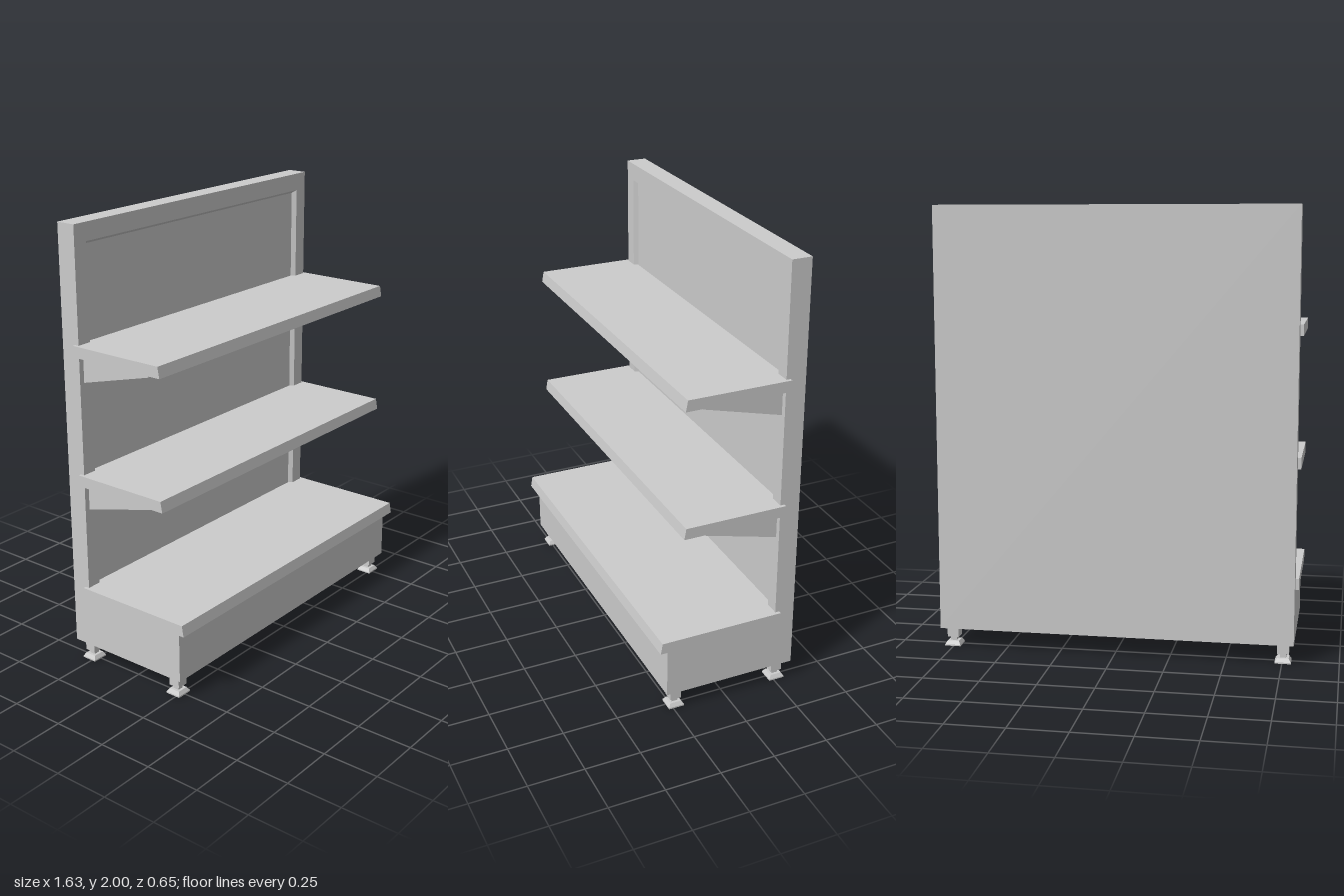
import * as THREE from 'three';

const grey = new THREE.MeshStandardMaterial({ color: 0xcccccc });
grey.name = 'light grey metal';

function add(parent, name, geometry, x = 0, y = 0, z = 0) {
  const mesh = new THREE.Mesh(geometry, grey);
  mesh.name = name;
  mesh.position.set(x, y, z);
  parent.add(mesh);
  return mesh;
}

// Extrudes a side profile of [z, y] points along x, centred on x = 0
function sideProfile(points, width) {
  const shape = new THREE.Shape(points.map(([z, y]) => new THREE.Vector2(z, y)));
  const geometry = new THREE.ExtrudeGeometry(shape, { depth: width, bevelEnabled: false });
  return geometry.translate(0, 0, -width / 2).rotateY(-Math.PI / 2);
}

// Joins rectangular loops [halfWidth, bottom, top, z] from back to front and caps both ends
function rectangleLoft(loops) {
  const rings = loops.map(([w, b, t, z]) => [[-w, b, z], [w, b, z], [w, t, z], [-w, t, z]]);
  const positions = [];
  const quad = (a, b, c, d) => positions.push(...a, ...b, ...c, ...a, ...c, ...d);
  for (let i = 0; i < rings.length - 1; i++) {
    for (let j = 0; j < 4; j++) {
      const k = (j + 1) % 4;
      quad(rings[i][j], rings[i][k], rings[i + 1][k], rings[i + 1][j]);
    }
  }
  const first = rings[0], last = rings[rings.length - 1];
  quad(first[3], first[2], first[1], first[0]);
  quad(last[0], last[1], last[2], last[3]);
  const geometry = new THREE.BufferGeometry();
  geometry.setAttribute('position', new THREE.Float32BufferAttribute(positions, 3));
  geometry.computeVertexNormals();
  return geometry;
}

// Shelf board with a front edge that leans outward at the bottom
function shelfBoard(front) {
  return sideProfile([[-0.254, 0], [front, 0], [front - 0.009, 0.05], [-0.254, 0.05]], 1.634);
}

// Levelling foot: square post, thin neck and flared pad
function makeFoot() {
  const foot = new THREE.Group();
  foot.name = 'foot';
  add(foot, 'footPost', new THREE.BoxGeometry(0.052, 0.052, 0.052), 0, 0.066, 0);
  add(foot, 'footNeck', new THREE.BoxGeometry(0.028, 0.022, 0.028), 0, 0.031, 0);
  const pad = rectangleLoft([[0.036, -0.036, 0.036, 0], [0.036, -0.036, 0.036, 0.006], [0.026, -0.026, 0.026, 0.022]]);
  add(foot, 'footPad', pad.rotateX(-Math.PI / 2));
  return foot;
}

export function createModel() {
  const model = new THREE.Group();
  model.name = 'shelvingUnit';

  // Back panel with a bevelled recess in its front
  add(model, 'backPanel', rectangleLoft([
    [0.802, 0.09, 2, -0.326],
    [0.802, 0.09, 2, -0.235],
    [0.735, 0.335, 1.92, -0.235],
    [0.722, 0.345, 1.906, -0.255],
  ]));

  // Plinth and deep bottom shelf
  add(model, 'basePlinth', new THREE.BoxGeometry(1.604, 0.235, 0.521), 0, 0.2075, 0.0255);
  add(model, 'bottomShelf', shelfBoard(0.324), 0, 0.325, 0);

  // Upper shelves, each on two tapered brackets
  const bracket = sideProfile([[-0.236, -0.118], [0.127, -0.022], [0.127, 0], [-0.236, 0]], 0.03);
  for (const y of [0.863, 1.442]) {
    const shelf = new THREE.Group();
    shelf.name = 'shelf';
    shelf.position.y = y;
    add(shelf, 'shelfBoard', shelfBoard(0.22));
    for (const side of [-1, 1]) add(shelf, 'shelfBracket', bracket, side * 0.763, 0, 0);
    model.add(shelf);
  }

  // Four feet
  for (const x of [-0.754, 0.754]) {
    for (const z of [-0.265, 0.234]) {
      const foot = makeFoot();
      foot.position.set(x, 0, z);
      model.add(foot);
    }
  }
  return model;
}
